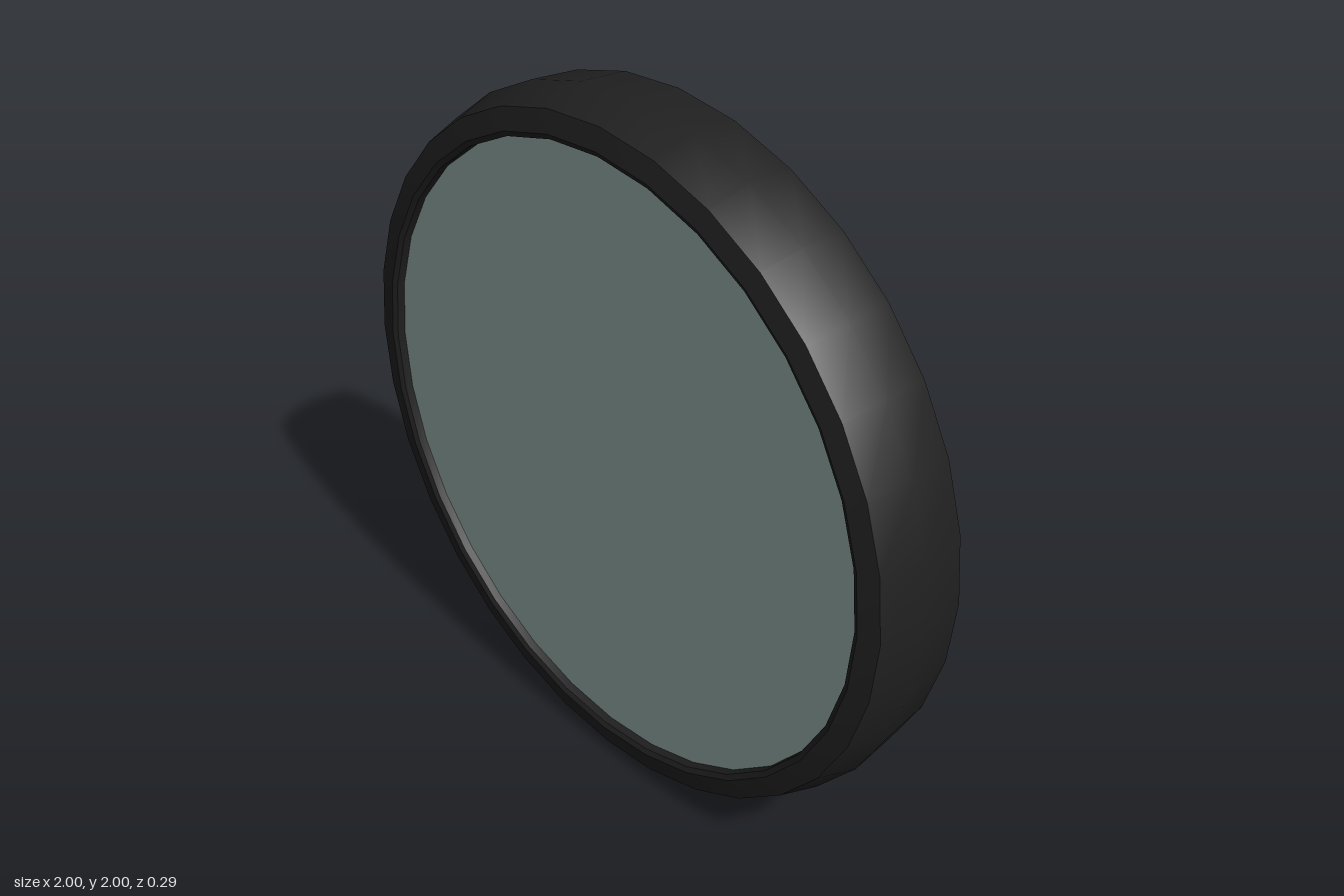
import * as THREE from 'three';
import { toCreasedNormals } from 'three/addons/utils/BufferGeometryUtils.js';

const SEGMENTS = 32;

// Revolves an [r, z] profile about the z axis, keeping sharp edges crisp
function revolve(name, profile, material) {
  const points = profile.map(([r, z]) => new THREE.Vector2(r, z));
  const geometry = new THREE.LatheGeometry(points, SEGMENTS).rotateX(Math.PI / 2);
  const mesh = new THREE.Mesh(toCreasedNormals(geometry, 0.5), material);
  mesh.name = name;
  mesh.position.y = 1;
  return mesh;
}

export function createModel() {
  const group = new THREE.Group();
  group.name = 'roundMirror';

  const black = new THREE.MeshStandardMaterial({ color: 0x202020 });
  black.name = 'blackFrame';
  const glass = new THREE.MeshStandardMaterial({ color: 0x869b96 });
  glass.name = 'greyGreenGlass';

  // Frame: flat back, bevelled back edge, bulging side, front lip, recess wall
  group.add(revolve('frame', [
    [0, -0.145], [0.92, -0.145], [0.935, -0.144], [0.985, -0.122],
    [1, 0.02], [0.965, 0.132], [0.905, 0.145], [0.89, 0.138], [0.888, 0.11],
  ], black));

  // Pane set just behind the lip
  const pane = new THREE.Mesh(new THREE.CircleGeometry(0.89, SEGMENTS), glass);
  pane.name = 'pane';
  pane.position.set(0, 1, 0.115);
  group.add(pane);

  return group;
}
